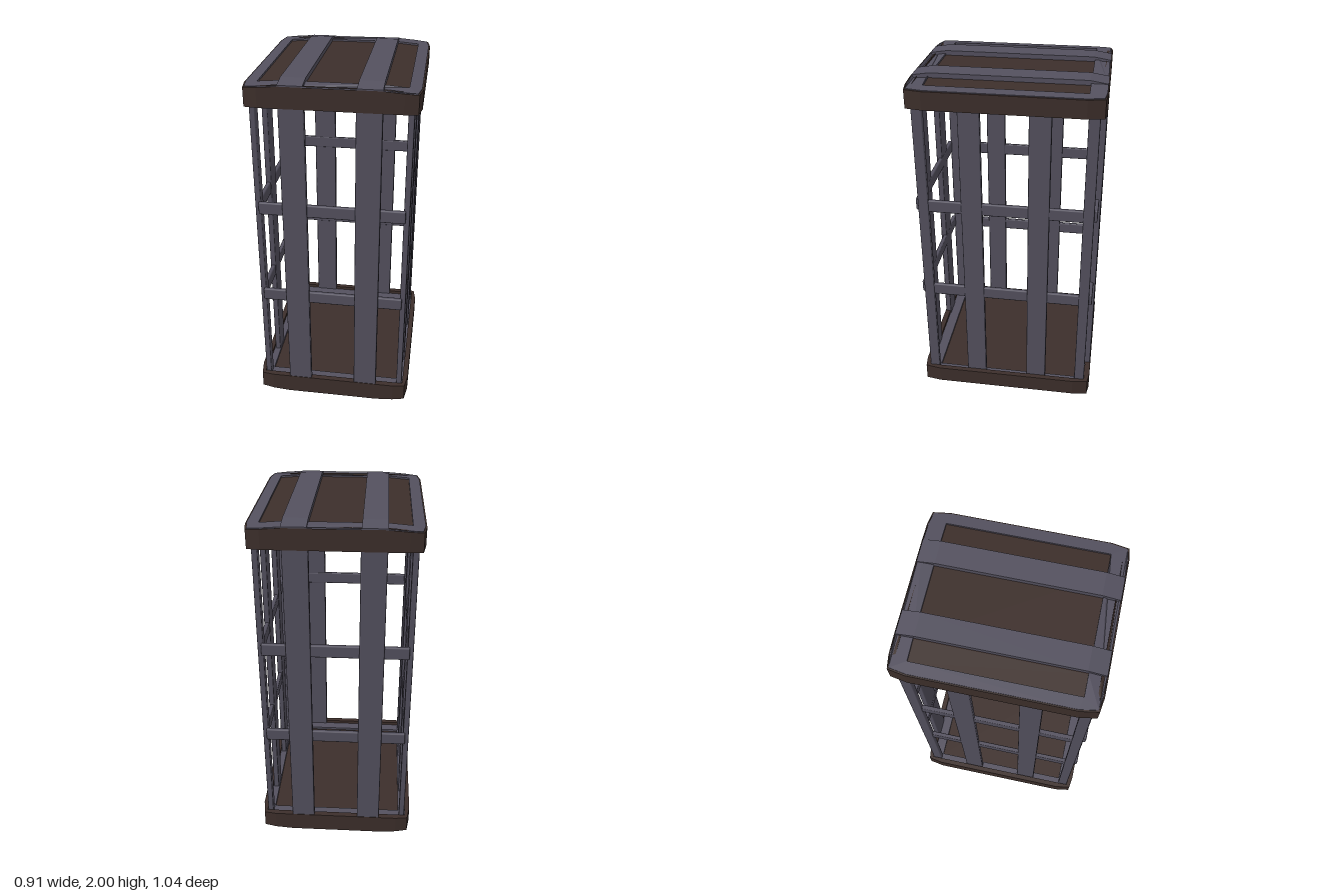
import * as THREE from 'three';
import { RoundedBoxGeometry } from 'three/addons/geometries/RoundedBoxGeometry.js';

const metal = new THREE.MeshStandardMaterial({ color: 0x54515f });
const rust = new THREE.MeshStandardMaterial({ color: 0x3d2f2b });

// Height of the slightly crowned lid at a given x
const crown = (x) => 1.98 - 0.015 * Math.max(0, (Math.abs(x) - 0.27) / 0.18);

function add(parent, name, geometry, material, x = 0, y = 0, z = 0) {
  const mesh = new THREE.Mesh(geometry, material);
  mesh.name = name;
  mesh.position.set(x, y, z);
  parent.add(mesh);
  return mesh;
}

// Box with softened edges
const bar = (w, h, d) => new RoundedBoxGeometry(w, h, d, 1, 0.007);

// Profile drawn in x/y, extruded along z and centred
function prism(points, depth) {
  const shape = new THREE.Shape(points.map(([x, y]) => new THREE.Vector2(x, y)));
  return new THREE.ExtrudeGeometry(shape, { depth, bevelEnabled: false }).translate(0, 0, -depth / 2);
}

// Plan ring with bulging sides, from y0 up to the crown plus an offset
function crownedRing(inset, holeX, holeZ, y0, offset) {
  const quarter = [[0.455, 0.42], [0.44, 0.51], [0.37, 0.52], [0.27, 0.52]]
    .map(([x, z]) => new THREE.Vector2(x - inset, z - inset));
  const flip = (sx, sz) => quarter.map((p) => new THREE.Vector2(p.x * sx, p.y * sz));
  const shape = new THREE.Shape([
    ...flip(1, 1), ...flip(-1, 1).reverse(), ...flip(-1, -1), ...flip(1, -1).reverse(),
  ]);
  shape.holes.push(new THREE.Path([
    [holeX, holeZ], [holeX, -holeZ], [0.27, -holeZ], [-0.27, -holeZ],
    [-holeX, -holeZ], [-holeX, holeZ], [-0.27, holeZ], [0.27, holeZ],
  ].map(([x, z]) => new THREE.Vector2(x, z))));
  const geometry = new THREE.ExtrudeGeometry(shape, { depth: 1, bevelEnabled: false }).rotateX(-Math.PI / 2);
  const pos = geometry.attributes.position;
  for (let i = 0; i < pos.count; i++) {
    pos.setY(i, pos.getY(i) < 0.5 ? y0 : crown(pos.getX(i)) + offset);
  }
  geometry.computeVertexNormals();
  return geometry;
}

// Lid: rusty band, metal frame, inset panel and two straps
function createCap(name) {
  const cap = new THREE.Group();
  cap.name = name;
  add(cap, 'outerBand', crownedRing(0, 0.425, 0.487, 1.865, 0), rust);
  add(cap, 'innerFrame', crownedRing(0.007, 0.385, 0.425, 1.885, 0.004), metal);

  const edge = crown(0.39) - 0.006;
  add(cap, 'panel', prism([
    [-0.39, 1.9], [0.39, 1.9], [0.39, edge], [0.27, 1.974], [-0.27, 1.974], [-0.39, edge],
  ], 0.86), rust);

  const strap = prism([
    [-0.515, 1.93], [0.515, 1.93], [0.515, 1.985], [0.42, 2], [-0.42, 2], [-0.515, 1.985],
  ], 0.13).rotateY(Math.PI / 2);
  for (const s of [-1, 1]) add(cap, 'strap', strap, metal, s * 0.2);
  return cap;
}

export function createModel() {
  const model = new THREE.Group();
  model.name = 'cage';

  const lid = createCap('lid');
  add(lid, 'ceilingPlate', new THREE.BoxGeometry(0.8, 0.01, 0.88), metal, 0, 1.897, 0);
  const base = createCap('base');
  base.rotation.x = Math.PI;
  base.position.y = 2;
  model.add(lid, base);

  const height = 1.8;
  for (const s of [-1, 1]) {
    for (const t of [-1, 1]) {
      // Uprights: wide flat bars on every side and thin corner posts
      add(model, 'endBar', bar(0.135, height, 0.035), metal, s * 0.198, 1, t * 0.5);
      add(model, 'sideBar', bar(0.032, height, 0.118), metal, s * 0.405, 1, t * 0.186);
      add(model, 'cornerPost', bar(0.032, height, 0.06), metal, s * 0.405, 1, t * 0.458);
    }
    // Horizontal rails
    for (const y of [0.724, 1.285]) {
      add(model, 'endRail', bar(0.8, 0.072, 0.025), metal, 0, y, s * 0.493);
      add(model, 'sideRail', bar(0.024, 0.072, 0.96), metal, s * 0.405, y, 0);
    }
  }
  return model;
}
